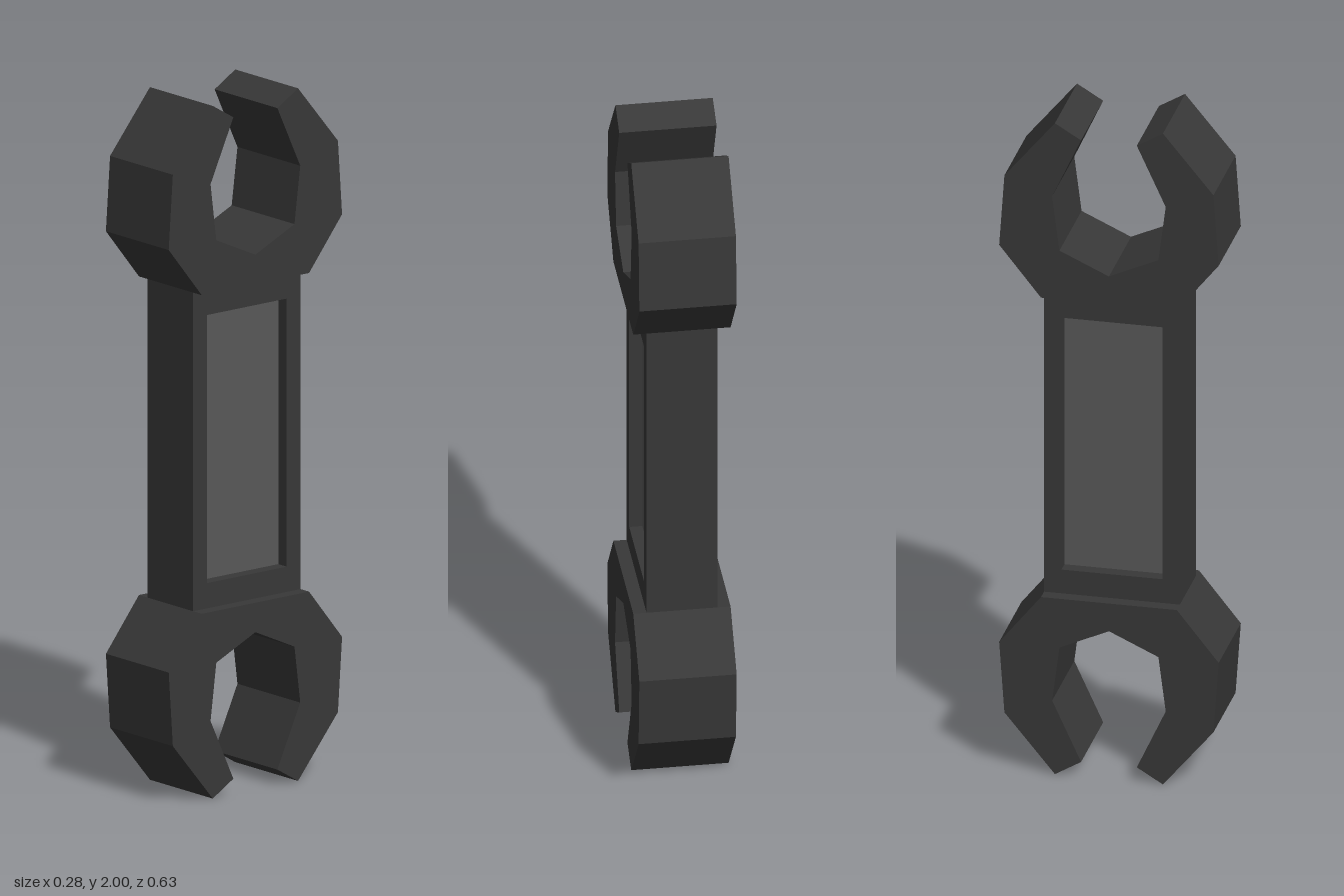
import * as THREE from 'three';

const dark = new THREE.MeshStandardMaterial({ color: 0x383838, flatShading: true });
const light = new THREE.MeshStandardMaterial({ color: 0x585858, flatShading: true });

// Extrudes a side profile (z, y) into a slab centred on x = 0
function slab(shape, thickness) {
  const geometry = new THREE.ExtrudeGeometry(shape, { depth: thickness, bevelEnabled: false });
  return geometry.translate(0, 0, -thickness / 2).rotateY(-Math.PI / 2);
}

function rectangle(halfWidth, halfHeight, Type = THREE.Shape) {
  return new Type([
    new THREE.Vector2(-halfWidth, -halfHeight),
    new THREE.Vector2(halfWidth, -halfHeight),
    new THREE.Vector2(halfWidth, halfHeight),
    new THREE.Vector2(-halfWidth, halfHeight),
  ]);
}

function part(name, geometry, material) {
  const mesh = new THREE.Mesh(geometry, material);
  mesh.name = name;
  return mesh;
}

// Open jaw: one half of the outline, from the base round the tip to the throat, then mirrored
function jawGeometry() {
  const half = [
    [0.195, 0.46], [0.315, 0.61], [0.3, 0.825], [0.155, 1],
    [0.08, 0.955], [0.163, 0.775], [0.142, 0.61],
  ];
  const mirrored = half.map(([z, y]) => [-z, y]).reverse();
  const outline = [...half, [0, 0.545], ...mirrored];
  return slab(new THREE.Shape(outline.map(([z, y]) => new THREE.Vector2(z, y))), 0.275);
}

export function createModel() {
  const wrench = new THREE.Group();
  wrench.name = 'doubleEndedWrench';

  // Handle frame with a window for the recessed panel
  const frame = rectangle(0.195, 0.462);
  frame.holes.push(rectangle(0.145, 0.387, THREE.Path));
  wrench.add(part('handleFrame', slab(frame, 0.2), dark));

  // Panel set into both sides of the handle
  wrench.add(part('handlePanel', new THREE.BoxGeometry(0.126, 0.774, 0.29), light));

  // Matching jaws at both ends
  const jaw = jawGeometry();
  const upperJaw = part('upperJaw', jaw, dark);
  const lowerJaw = part('lowerJaw', jaw, dark);
  lowerJaw.rotation.x = Math.PI;
  wrench.add(upperJaw, lowerJaw);

  wrench.position.y = 1;
  const model = new THREE.Group();
  model.add(wrench);
  return model;
}
